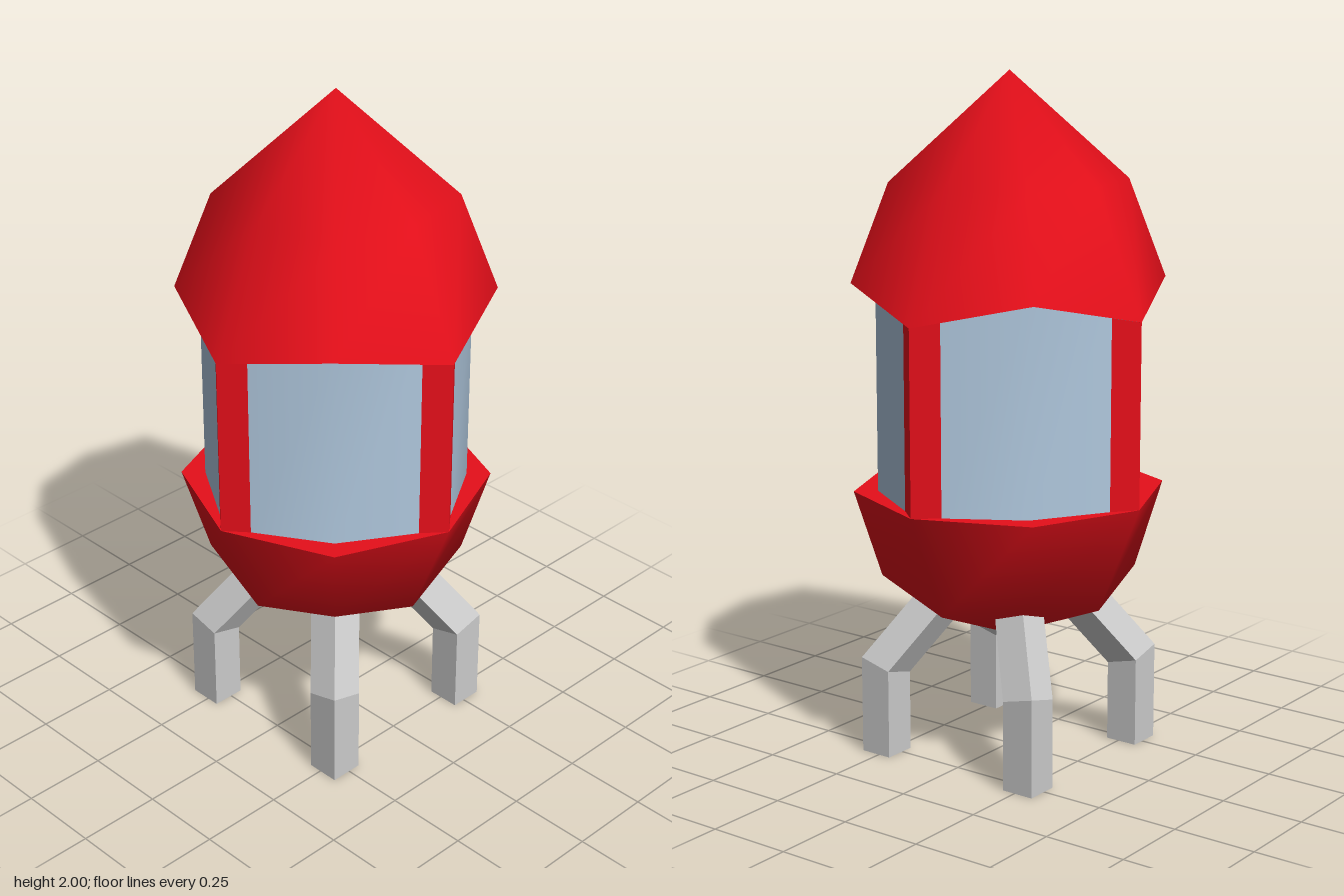
import * as THREE from 'three';
import { mergeVertices } from 'three/addons/utils/BufferGeometryUtils.js';

const red = { color: 0xe60f1a };
const glass = { color: 0xb0c8de };
const grey = { color: 0xcccccc };

// Skin between rows of points, listed bottom to top and anticlockwise from above
function loft(name, rows, look, flat) {
  const n = rows[0].length;
  const index = [];
  for (let r = 0; r < rows.length - 1; r++) {
    for (let k = 0; k < n - 1; k++) {
      const a = r * n + k, d = a + n;
      index.push(a, a + 1, d + 1, a, d + 1, d);
    }
  }
  let geo = new THREE.BufferGeometry();
  geo.setAttribute('position', new THREE.Float32BufferAttribute(rows.flat(2), 3));
  geo.setIndex(index);
  geo = mergeVertices(geo);
  if (flat) geo = geo.toNonIndexed();
  geo.computeVertexNormals();
  const mat = new THREE.MeshStandardMaterial({ ...look, flatShading: flat, side: THREE.DoubleSide });
  const mesh = new THREE.Mesh(geo, mat);
  mesh.name = name;
  return mesh;
}

// Eight-sided ring whose axis corners and diagonal corners differ in radius and height
function ring(axisR, axisY, diagR = axisR, diagY = axisY) {
  const pts = [];
  for (let k = 0; k <= 8; k++) {
    const a = ((k % 8) * Math.PI) / 4;
    const r = k % 2 ? diagR : axisR;
    pts.push([r * Math.sin(a), k % 2 ? diagY : axisY, r * Math.cos(a)]);
  }
  return pts;
}

// Leg: square post that bends inward to the hull, built pointing along +z
function makeLeg() {
  const R = 0.368, h = 0.0707, rise = 0.26;
  const corners = [[0, h], [h, 0], [0, -h], [-h, 0], [0, h]];
  const foot = corners.map(([x, z]) => [x, 0, R + z]);
  const sole = corners.map(() => [0, 0, R]);
  const knee = corners.map(([x, z]) => [x, 0.265 + 0.36 * z, R + z]);
  const top = knee.map(([x, y, z]) => [x, y + rise, z - 0.85 * rise]);
  return loft('leg', [sole, foot, knee, top], grey, true);
}

export function createModel() {
  const group = new THREE.Group();
  const rimLow = ring(0.455, 0.795);
  const rimHigh = ring(0.455, 1.33, 0.455, 1.405);

  // Pointed nose and its underside
  group.add(loft('noseCone', [rimHigh, ring(0.3, 1.69, 0.345, 1.69), ring(0, 2)], red, false));
  group.add(loft('noseUnderside', [ring(0, 1.37), rimHigh], red, true));

  // Rounded lower hull and the ledge below the windows
  group.add(loft('lowerHull', [ring(0, 0.345), ring(0.32, 0.475, 0.375, 0.54), rimLow], red, false));
  group.add(loft('hullLedge', [rimLow, ring(0, 0.795)], red, true));

  // Corner posts, bowed windows and legs, four of each
  const postPlan = [[-0.065, 0.4, 1.345], [0, 0.455, 1.33], [0.065, 0.4, 1.345]];
  const windowPlan = [[0.065, 0.4, 1.4], [0.272, 0.272, 1.405], [0.4, 0.065, 1.4]];
  const panel = (name, plan, look, flat) => loft(name, [
    plan.map(([x, z]) => [x, 0.795, z]),
    plan.map(([x, z, y]) => [x, y, z]),
  ], look, flat);

  for (let i = 0; i < 4; i++) {
    const turn = (i * Math.PI) / 2;
    const post = panel('cornerPost', postPlan, red, true);
    const pane = panel('window', windowPlan, glass, false);
    const leg = makeLeg();
    post.rotation.y = pane.rotation.y = turn;
    leg.rotation.y = turn + Math.PI / 4;
    group.add(post, pane, leg);
  }
  return group;
}
